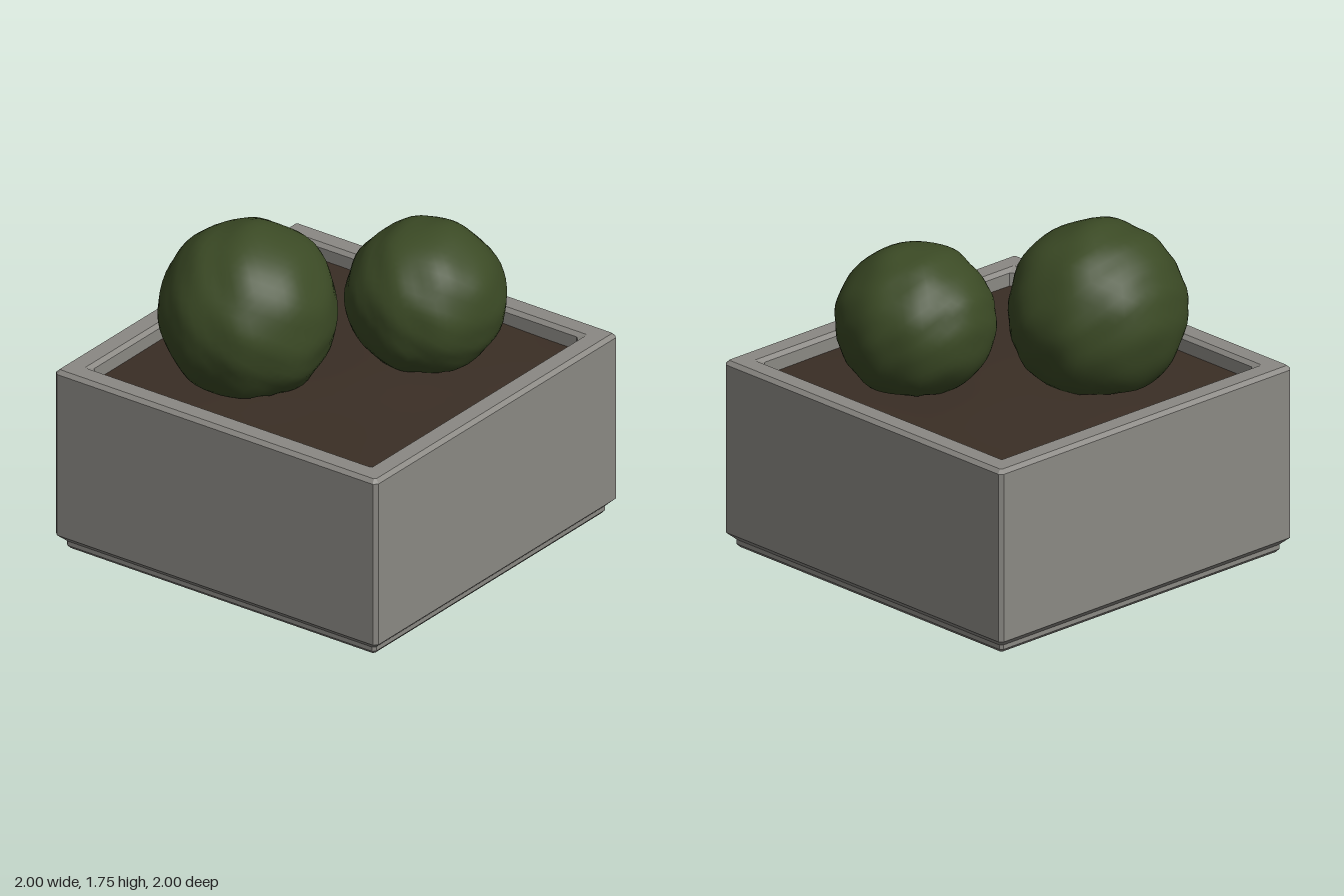
import * as THREE from 'three';
import { mergeVertices } from 'three/addons/utils/BufferGeometryUtils.js';

const stone = new THREE.MeshStandardMaterial({ color: 0x8b8984 });
stone.name = 'stone';
const earth = new THREE.MeshStandardMaterial({ color: 0x3a2e25 });
earth.name = 'earth';
const leaf = new THREE.MeshStandardMaterial({ color: 0x3b4a25 });
leaf.name = 'leaf green';

// Square ring with chamfered corners, counter-clockwise from above
function ring([half, y, chamfer]) {
  const k = half - chamfer;
  return [[half, k], [k, half], [-k, half], [-half, k], [-half, -k], [-k, -half], [k, -half], [half, -k]]
    .map(([x, z]) => [x, y, -z]);
}

// Skin a list of square rings with flat faces
function loftSquare(profile) {
  const rings = profile.map(ring);
  const pos = [];
  for (let j = 0; j < rings.length - 1; j++) {
    for (let i = 0; i < 8; i++) {
      const n = (i + 1) % 8;
      const a = rings[j][i], b = rings[j][n], c = rings[j + 1][n], d = rings[j + 1][i];
      pos.push(...a, ...b, ...c, ...a, ...c, ...d);
    }
  }
  const g = new THREE.BufferGeometry();
  g.setAttribute('position', new THREE.Float32BufferAttribute(pos, 3));
  g.computeVertexNormals();
  return g;
}

// Clipped shrub: a slightly lumpy ball that settles flat on the soil
function shrub(name, center, radius, phase) {
  let g = new THREE.IcosahedronGeometry(1, 9);
  g.deleteAttribute('uv');
  g.deleteAttribute('normal');
  g = mergeVertices(g, 1e-4);
  const p = g.attributes.position;
  const v = new THREE.Vector3();
  for (let i = 0; i < p.count; i++) {
    v.fromBufferAttribute(p, i);
    const lump = 0.012 * Math.sin(7 * v.x + phase) * Math.cos(6 * v.y - phase)
      + 0.010 * Math.sin(9 * v.z + 5 * v.x + 2 * phase)
      + 0.007 * Math.sin(15 * v.y + 11 * v.z - phase);
    v.multiplyScalar(1 + lump).multiply(radius).add(center);
    p.setXYZ(i, v.x, Math.max(v.y, 0.94), v.z);
  }
  g.computeVertexNormals();
  const mesh = new THREE.Mesh(g, leaf);
  mesh.name = name;
  return mesh;
}

export function createModel() {
  const group = new THREE.Group();
  group.name = 'planter';

  // Box: underside, stepped plinth, walls, bevelled rim, inner walls
  const box = new THREE.Mesh(loftSquare([
    [0.001, 0, 0], [0.945, 0, 0.01], [0.96, 0.018, 0.015], [0.96, 0.042, 0.015],
    [1, 0.08, 0.02], [1, 0.98, 0.02], [0.98, 1, 0.01],
    [0.89, 1, 0.005], [0.87, 0.98, 0.03], [0.87, 0.85, 0.03],
  ]), stone);
  box.name = 'planterBox';
  group.add(box);

  // Soil: gently mounded and uneven
  const soilGeo = new THREE.PlaneGeometry(1.75, 1.75, 20, 20).rotateX(-Math.PI / 2);
  const sp = soilGeo.attributes.position;
  for (let i = 0; i < sp.count; i++) {
    const x = sp.getX(i), z = sp.getZ(i);
    const mound = 0.04 * Math.cos(x * 1.75) * Math.cos(z * 1.75);
    sp.setY(i, 0.91 + mound + 0.004 * Math.sin(6 * x + 2) * Math.sin(7 * z));
  }
  soilGeo.computeVertexNormals();
  const soil = new THREE.Mesh(soilGeo, earth);
  soil.name = 'soil';
  group.add(soil);

  // Shrubs
  group.add(
    shrub('largeShrub', new THREE.Vector3(-0.335, 1.28, -0.293), new THREE.Vector3(0.455, 0.458, 0.448), 0.6),
    shrub('smallShrub', new THREE.Vector3(0.365, 1.245, 0.283), new THREE.Vector3(0.4, 0.395, 0.398), 2.3),
  );
  return group;
}
